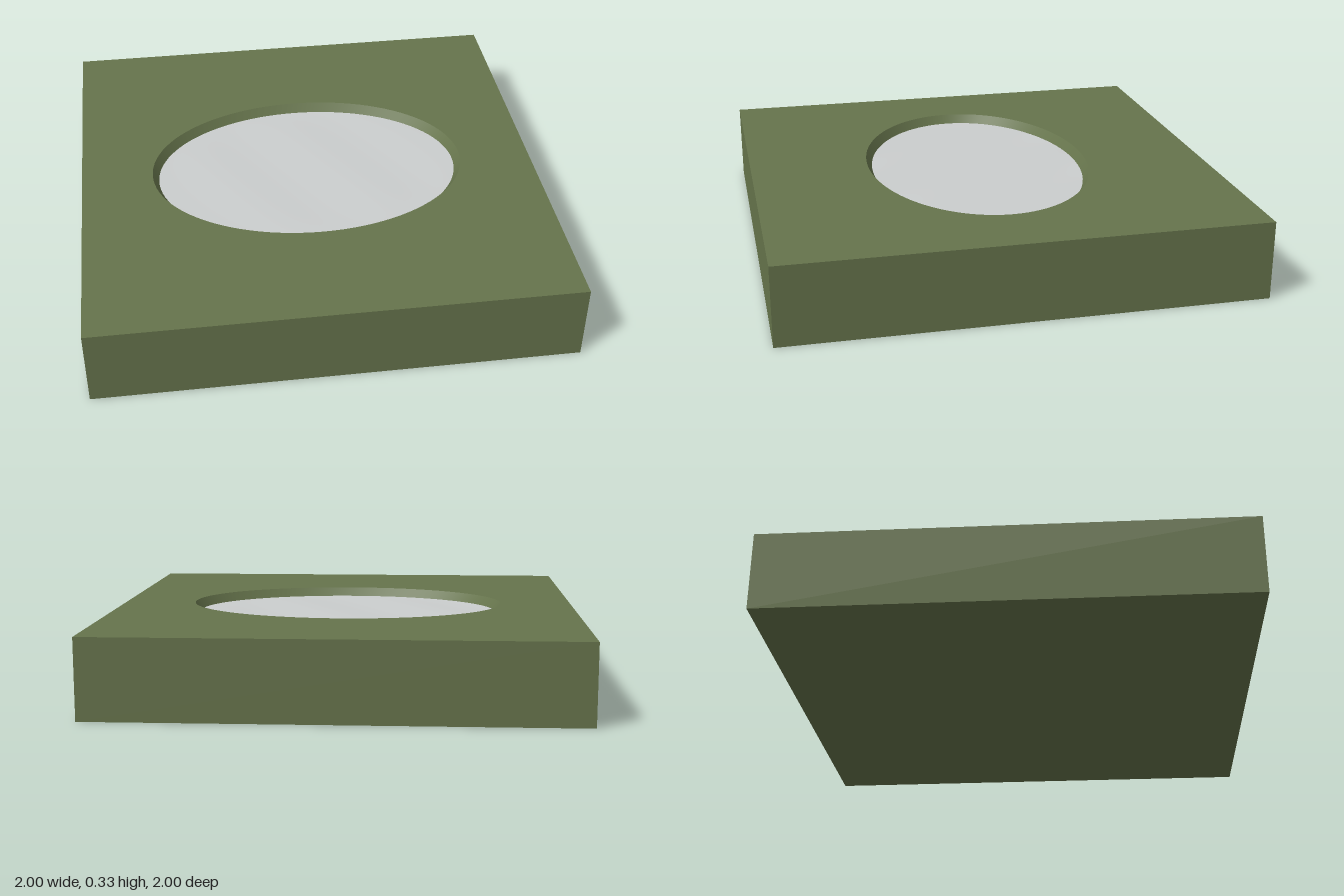
import * as THREE from 'three';

const HEIGHT = 0.333, WATER_Y = 0.295;
const OUTER = [0.69, 0.488], INNER = [0.664, 0.463];
const SEGMENTS = 96;

export function createModel() {
  const grass = new THREE.MeshStandardMaterial({ color: 0x66744c });
  grass.name = 'mossGreen';
  const water = new THREE.MeshStandardMaterial({ color: 0xcbcece });
  water.name = 'paleWater';

  const group = new THREE.Group();
  group.name = 'pondTile';
  const add = (name, geometry, material) => {
    const mesh = new THREE.Mesh(geometry, material);
    mesh.name = name;
    group.add(mesh);
  };

  // Sides and underside: a box without its top face
  const box = new THREE.BoxGeometry(2, HEIGHT, 2).translate(0, HEIGHT / 2, 0);
  const index = Array.from(box.index.array);
  index.splice(12, 6);
  box.setIndex(index);
  box.clearGroups();
  add('groundBlock', box, grass);

  // Top face with an elliptical opening
  const top = new THREE.Shape([[-1, -1], [1, -1], [1, 1], [-1, 1]].map(([x, y]) => new THREE.Vector2(x, y)));
  const hole = [];
  for (let i = 0; i < SEGMENTS; i++) {
    const a = (i / SEGMENTS) * Math.PI * 2;
    hole.push(new THREE.Vector2(OUTER[0] * Math.cos(a), OUTER[1] * Math.sin(a)));
  }
  top.holes.push(new THREE.Path(hole));
  add('groundTop', new THREE.ShapeGeometry(top).rotateX(-Math.PI / 2).translate(0, HEIGHT, 0), grass);

  // Sloping bank, lofted between the opening and the waterline
  const points = [], faces = [];
  for (let i = 0; i < SEGMENTS; i++) {
    const a = (i / SEGMENTS) * Math.PI * 2, c = Math.cos(a), s = Math.sin(a);
    points.push(OUTER[0] * c, HEIGHT, OUTER[1] * s, INNER[0] * c, WATER_Y, INNER[1] * s);
    const p = i * 2, q = ((i + 1) % SEGMENTS) * 2;
    faces.push(p, p + 1, q, q, p + 1, q + 1);
  }
  const bank = new THREE.BufferGeometry();
  bank.setAttribute('position', new THREE.Float32BufferAttribute(points, 3));
  bank.setIndex(faces);
  bank.computeVertexNormals();
  add('pondBank', bank, grass);

  // Water surface with faint diagonal ripples that fade at the shore
  const surface = new THREE.RingGeometry(0, 1, SEGMENTS, 24).rotateX(-Math.PI / 2);
  const pos = surface.attributes.position;
  for (let i = 0; i < pos.count; i++) {
    const u = pos.getX(i), v = pos.getZ(i);
    const x = u * INNER[0], z = v * INNER[1];
    const fade = Math.max(0, 1 - (u * u + v * v) ** 3);
    pos.setXYZ(i, x, WATER_Y + 0.002 * fade * Math.sin((0.86 * x - 0.5 * z) * 14), z);
  }
  surface.computeVertexNormals();
  add('waterSurface', surface, water);

  return group;
}
